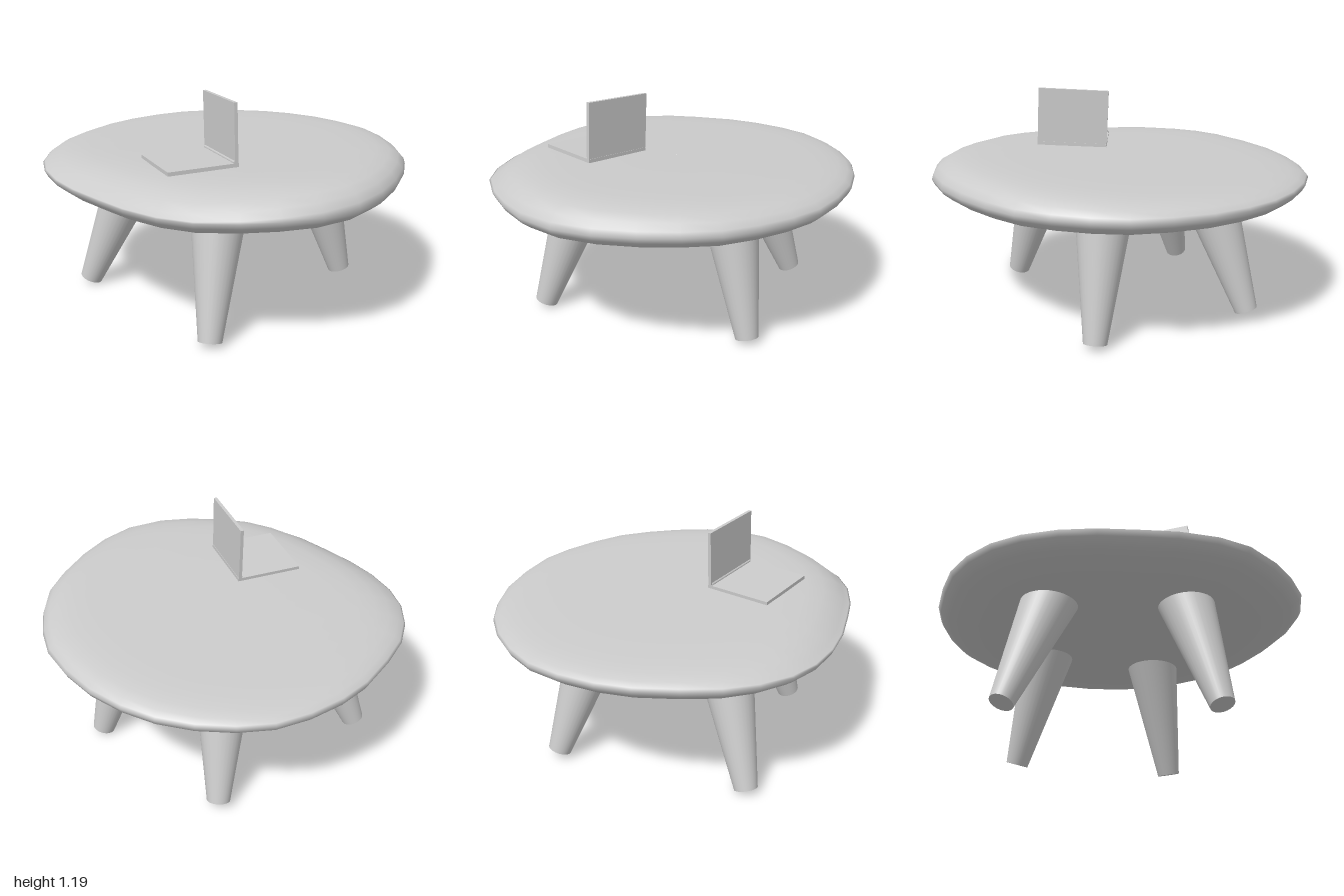
import * as THREE from 'three';

const material = new THREE.MeshStandardMaterial({ color: 0xcccccc });

// Outline of the slab in x, z, running from the back edge round by +x
const outline = [
  [-0.05, -0.96], [0.155, -0.94], [0.35, -0.89], [0.51, -0.8], [0.66, -0.68], [0.79, -0.54], [0.88, -0.37], [0.95, -0.18],
  [0.995, 0.03], [0.995, 0.24], [0.93, 0.44], [0.82, 0.6], [0.69, 0.74], [0.52, 0.87], [0.35, 0.93], [0.15, 0.95],
  [-0.02, 0.94], [-0.24, 0.92], [-0.42, 0.88], [-0.59, 0.81], [-0.73, 0.71], [-0.845, 0.57], [-0.925, 0.41], [-0.97, 0.22],
  [-1, 0], [-0.99, -0.18], [-0.945, -0.37], [-0.87, -0.54], [-0.75, -0.68], [-0.6, -0.8], [-0.43, -0.89], [-0.25, -0.94],
];

// Rings from the middle of the top over the rim to the middle of the underside:
// [scale of the outline, share of the height above (+) or below (-) the rim]
const rings = [
  [0.001, 1], [0.3, 1], [0.6, 1], [0.75, 0.97], [0.84, 0.9], [0.91, 0.78], [0.96, 0.56], [0.99, 0.27],
  [1, 0], [0.985, -0.25], [0.94, -0.55], [0.86, -0.74], [0.72, -0.88], [0.55, -0.97], [0.35, -1], [0.001, -1],
];

function slabGeometry() {
  const n = outline.length;
  const positions = [];
  const index = [];
  for (const [scale, share] of rings) {
    for (const [ox, oz] of outline) {
      const x = ox * scale;
      const z = oz * scale;
      // The top tilts gently up to +x and slopes off more softly at the front
      const rise = 0.088 + 0.033 * x + 0.015 * z;
      const soften = 1 + 2.2 * Math.max(0, oz) ** 3;
      const y = share >= 0 ? 0.76 + rise * share ** soften : 0.76 + 0.12 * share;
      positions.push(x, y, z);
    }
  }
  for (let r = 0; r < rings.length - 1; r++) {
    for (let i = 0; i < n; i++) {
      const j = (i + 1) % n;
      const a = r * n + i, b = r * n + j, c = a + n, d = b + n;
      index.push(a, b, c, b, d, c);
    }
  }
  const geometry = new THREE.BufferGeometry();
  geometry.setAttribute('position', new THREE.Float32BufferAttribute(positions, 3));
  geometry.setIndex(index);
  geometry.computeVertexNormals();
  return geometry;
}

function addMesh(parent, name, geometry) {
  const mesh = new THREE.Mesh(geometry, material);
  mesh.name = name;
  parent.add(mesh);
  return mesh;
}

// Tapered leg along the line from its foot up into the slab
function addLeg(parent, name, foot, top) {
  const from = new THREE.Vector3(...foot);
  const to = new THREE.Vector3(...top);
  const axis = to.clone().sub(from);
  const leg = addMesh(parent, name, new THREE.CylinderGeometry(0.152, 0.062, axis.length(), 32));
  leg.position.copy(from).add(to).multiplyScalar(0.5);
  leg.quaternion.setFromUnitVectors(new THREE.Vector3(0, 1, 0), axis.normalize());
}

export function createModel() {
  const model = new THREE.Group();
  model.name = 'tableWithLaptop';

  addMesh(model, 'tabletop', slabGeometry());

  addLeg(model, 'frontRightLeg', [-0.63, 0.027, 0.5], [-0.4, 0.7, 0.33]);
  addLeg(model, 'frontLeftLeg', [0.405, 0.027, 0.63], [0.29, 0.7, 0.42]);
  addLeg(model, 'backRightLeg', [-0.51, 0.045, -0.54], [-0.36, 0.7, -0.34]);
  addLeg(model, 'backLeftLeg', [0.39, 0.027, -0.55], [0.27, 0.7, -0.4]);

  // Open laptop, turned on the table and following its tilt
  const laptop = new THREE.Group();
  laptop.name = 'laptop';
  laptop.position.set(0.1, 0.867, 0.435);
  laptop.rotation.set(0, -0.447, 0.045, 'YXZ');
  model.add(laptop);

  addMesh(laptop, 'laptopBase', new THREE.BoxGeometry(0.394, 0.02, 0.374));
  const screen = addMesh(laptop, 'laptopScreen', new THREE.BoxGeometry(0.394, 0.304, 0.018));
  screen.position.set(0, 0.162, -0.176);
  const hinge = addMesh(laptop, 'laptopHinge', new THREE.CylinderGeometry(0.011, 0.011, 0.38, 12));
  hinge.rotation.z = Math.PI / 2;
  hinge.position.set(0, 0.012, -0.172);

  return model;
}
